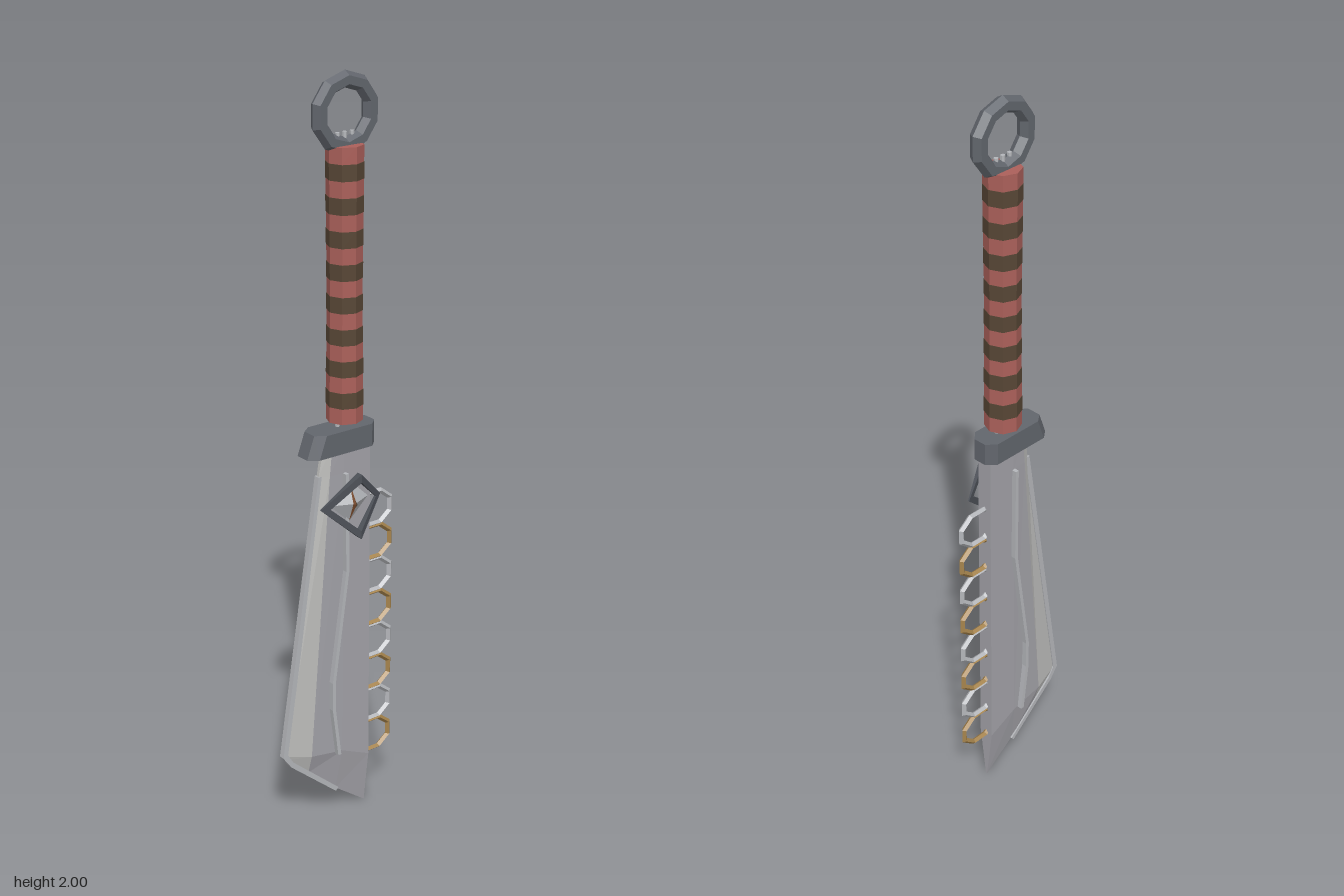
import * as THREE from 'three';

const CX = 0.022, CZ = -0.018; // handle axis and blade mid-plane

function mat(name, color, side = THREE.FrontSide) {
  const m = new THREE.MeshStandardMaterial({ color, flatShading: true, side });
  m.name = name;
  return m;
}

// Open loft through rows of [x, y, z] points
function loft(rows) {
  const n = rows[0].length, index = [];
  for (let r = 0; r < rows.length - 1; r++) {
    for (let c = 0; c < n - 1; c++) {
      const a = r * n + c, b = a + 1, d = a + n, e = d + 1;
      index.push(a, b, e, a, e, d);
    }
  }
  const g = new THREE.BufferGeometry();
  g.setAttribute('position', new THREE.Float32BufferAttribute(rows.flat(2), 3));
  g.setIndex(index);
  g.computeVertexNormals();
  return g;
}

const shapeOf = pts => new THREE.Shape(pts.map(p => new THREE.Vector2(p[0], p[1])));

// Plate extruded evenly about the blade mid-plane
function plate(pts, depth) {
  return new THREE.ExtrudeGeometry(shapeOf(pts), { depth, bevelEnabled: false })
    .translate(0, 0, CZ - depth / 2);
}

// Thin band following a path, widened along x
function band(path, width) {
  return [...path, ...path.map(([x, y]) => [x + width, y]).reverse()];
}

export function createModel() {
  const model = new THREE.Group();
  const steel = mat('blade steel', 0xa3a2a8, THREE.DoubleSide);
  const bevel = mat('honed steel', 0xbcbcba, THREE.DoubleSide);
  const silver = mat('silver', 0xb4b6ba);
  const dark = mat('dark iron', 0x62666d);
  const black = mat('black iron', 0x4d5158);
  const gold = mat('aged brass', 0xa5834c);
  const red = mat('red wrap', 0xab605a);
  const brown = mat('brown wrap', 0x574635);
  const amber = mat('amber', 0x7a4a2c);

  const add = (name, geo, material, parent = model) => {
    const m = new THREE.Mesh(geo, material);
    m.name = name;
    parent.add(m);
    return m;
  };

  // Blade rows: spine, ridge, middle and edge points as [x, y, half thickness]
  const rows = [
    [[0.088, 1.08, 0.021], [0.005, 1.08, 0.021], [-0.03, 1.08, 0.018], [-0.048, 1.08, 0.006]],
    [[0.088, 1.0, 0.021], [0.005, 1.0, 0.021], [-0.038, 1.0, 0.018], [-0.063, 1.0, 0.004]],
    [[0.088, 0.16, 0.021], [0.0, 0.2, 0.021], [-0.1, 0.215, 0.018], [-0.175, 0.235, 0.004]],
    [[0.088, 0.008, 0.002], [-0.01, 0.08, 0.002], [-0.1, 0.16, 0.002], [-0.17, 0.222, 0.002]],
  ];
  const front = p => [p[0], p[1], CZ + p[2]];
  const back = p => [p[0], p[1], CZ - p[2]];
  add('bladeBody', loft(rows.map(([s, r, m]) =>
    [back(m), back(r), back(s), front(s), front(r), front(m)])), steel);
  add('bladeBevel', loft(rows.map(([, , m, e]) =>
    [front(m), front(e), back(e), back(m)])), bevel);

  // Cutting edge strip and the raised line on both faces
  add('cuttingEdge', plate([[-0.066, 1.0], [-0.185, 0.235], [-0.16, 0.2], [-0.012, 0.073],
    [-0.004, 0.082], [-0.153, 0.212], [-0.17, 0.24], [-0.051, 1.0]], 0.016), silver);
  add('bladeLine', plate(band([[0.0, 1.0], [0.002, 0.73], [-0.042, 0.42], [-0.042, 0.34], [-0.024, 0.2]], 0.01), 0.068), silver);

  // Guard: chamfered plan, left end slanted
  const plan = [[-0.11, -0.02], [-0.085, -0.039], [0.08, -0.039], [0.103, -0.018],
    [0.103, 0.018], [0.08, 0.039], [-0.085, 0.039], [-0.11, 0.02]];
  const guard = new THREE.ExtrudeGeometry(shapeOf(plan), { depth: 0.06, bevelEnabled: false });
  guard.rotateX(-Math.PI / 2).translate(0, 1.06, CZ);
  const gp = guard.attributes.position;
  for (let i = 0; i < gp.count; i++) {
    if (gp.getX(i) < 0 && gp.getY(i) > 1.1) gp.setX(i, gp.getX(i) + 0.022);
  }
  add('guard', guard, dark);

  // Rods running through the grip
  for (const dx of [-0.022, 0, 0.022]) {
    add('tangRod', new THREE.CylinderGeometry(0.006, 0.006, 0.81, 6).translate(CX + dx, 1.455, CZ), silver);
  }

  // Wrapped grip: alternating octagonal bands, slimmer in the middle
  const grip = new THREE.Group();
  grip.name = 'grip';
  model.add(grip);
  const count = 17, y0 = 1.135, h = 0.695 / count;
  const radius = i => 0.044 + 0.003 * Math.abs(2 * i / count - 1);
  for (let i = 0; i < count; i++) {
    const even = i % 2 === 0, extra = even ? 0 : 0.001;
    add(even ? 'redWrap' : 'brownWrap',
      new THREE.CylinderGeometry(radius(i + 1) + extra, radius(i) + extra, h, 8)
        .translate(CX, y0 + h * (i + 0.5), CZ), even ? red : brown, grip);
  }

  // Pommel ring
  add('pommelRing', new THREE.TorusGeometry(0.079, 0.021, 6, 10)
    .rotateZ(Math.PI / 10).translate(CX, 1.905, CZ), dark);

  // Oval rings sunk into the spine
  for (let i = 0; i < 8; i++) {
    add('spineRing', new THREE.TorusGeometry(0.048, 0.007, 4, 8)
      .rotateZ(Math.PI / 8).scale(1.25, 1, 1.15).translate(0.115, 0.868 - i * 0.095, CZ), i % 2 ? gold : silver);
  }

  // Folded diamond frame on the front
  const emblem = new THREE.Group();
  emblem.name = 'emblem';
  emblem.position.set(0.012, 0.925, 0);
  model.add(emblem);
  const diamond = (w, hh) => [[w, 0], [0, hh], [-w, 0], [0, -hh]];
  const frameShape = shapeOf(diamond(0.095, 0.088));
  frameShape.holes.push(new THREE.Path(diamond(0.072, 0.066).map(p => new THREE.Vector2(...p))));
  const frame = new THREE.ExtrudeGeometry(frameShape, { depth: 0.018, bevelEnabled: false });
  const fp = frame.attributes.position;
  for (let i = 0; i < fp.count; i++) {
    const t = 1 - Math.abs(fp.getX(i)) / 0.095;
    fp.setZ(i, fp.getZ(i) * (0.2 + 0.8 * t) + 0.018 + 0.03 * t);
  }
  add('emblemFrame', frame, black, emblem);

  // Slit eye inside the frame
  add('eyeBacking', new THREE.OctahedronGeometry(1).scale(0.06, 0.056, 0.026).translate(0, 0, 0.014), silver, emblem);
  add('eyeIris', new THREE.OctahedronGeometry(1).scale(0.017, 0.053, 0.03).translate(0, 0, 0.016), amber, emblem);
  add('eyeSlit', new THREE.OctahedronGeometry(1).scale(0.006, 0.04, 0.033).translate(0, 0, 0.016), brown, emblem);

  return model;
}
